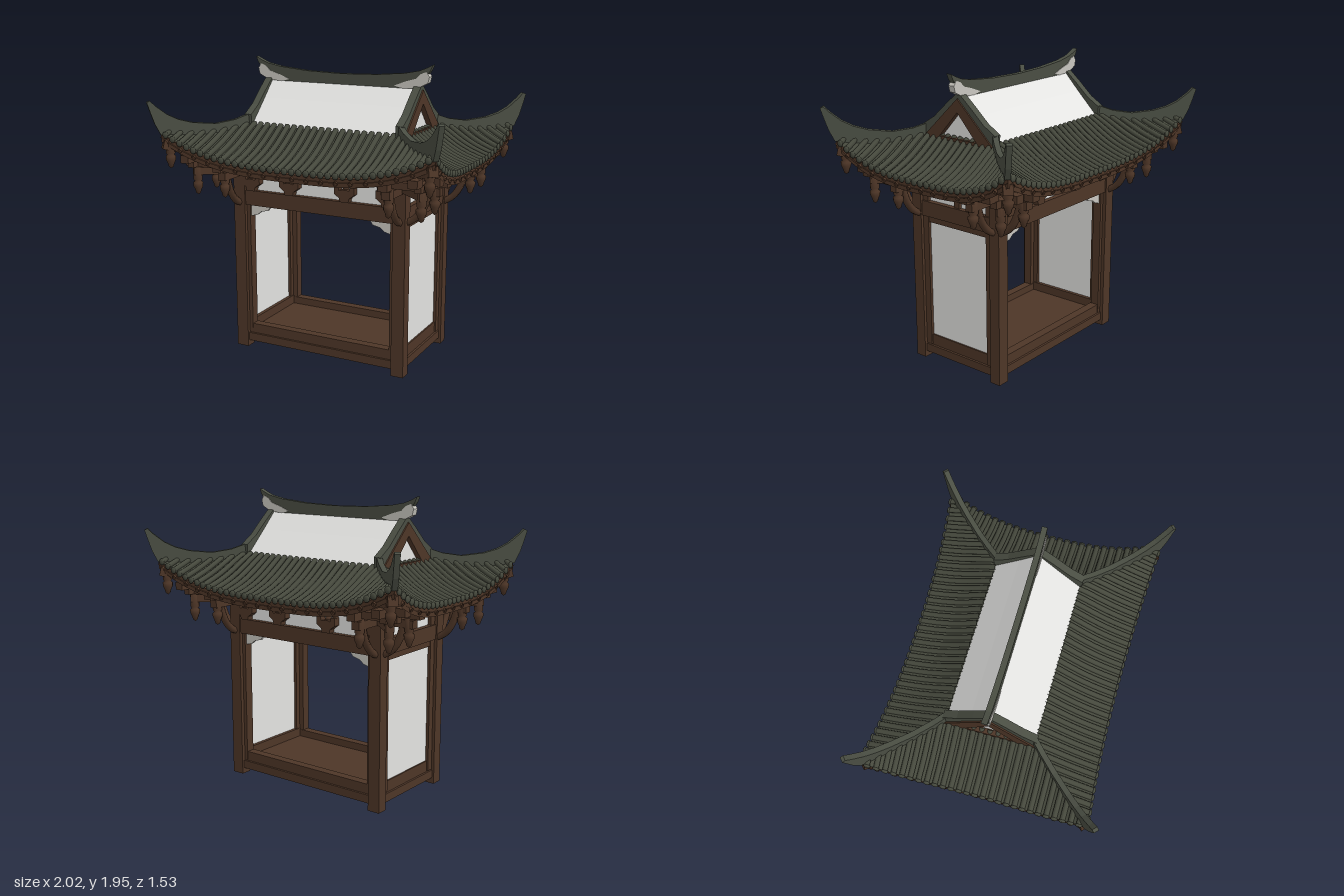
import * as THREE from 'three';
import { mergeGeometries } from 'three/addons/utils/BufferGeometryUtils.js';

const material = (name, color, side = THREE.FrontSide) => {
  const m = new THREE.MeshStandardMaterial({ color, side });
  m.name = name;
  return m;
};

export function createModel() {
  const model = new THREE.Group();
  model.name = 'pavilion';
  const wood = material('dark wood', 0x4e3627, THREE.DoubleSide);
  const tile = material('roof tile', 0x46493d, THREE.DoubleSide);
  const ridgeMat = material('ridge tile', 0x4a4e43);
  const white = material('white panel', 0xe4e4e2, THREE.DoubleSide);
  const carved = material('pale carving', 0xc9c7c0);
  const signs = [-1, 1];

  const add = (name, geo, mat, x = 0, y = 0, z = 0, ry = 0) => {
    const mesh = new THREE.Mesh(geo, mat);
    mesh.name = name;
    mesh.position.set(x, y, z);
    mesh.rotation.y = ry;
    model.add(mesh);
    return mesh;
  };
  // box given by its minimum and maximum on each axis
  const block = (name, mat, x0, x1, y0, y1, z0, z1) =>
    add(name, new THREE.BoxGeometry(Math.abs(x1 - x0), y1 - y0, Math.abs(z1 - z0)), mat,
      (x0 + x1) / 2, (y0 + y1) / 2, (z0 + z1) / 2);
  // outline in x and y, extruded evenly to both sides of z = 0
  const plate = (pts, depth, hole) => {
    const shape = new THREE.Shape(pts.map(p => new THREE.Vector2(...p)));
    if (hole) shape.holes.push(new THREE.Path(hole.map(p => new THREE.Vector2(...p))));
    return new THREE.ExtrudeGeometry(shape, { depth, bevelEnabled: false }).translate(0, 0, -depth / 2);
  };
  // doubles a right half outline, listed from the top centre to the bottom centre
  const mirrored = pts => [...pts, ...pts.map(([x, y]) => [-x, y]).reverse()];
  const loft = (fn, nu, nv) => {
    const pos = [], idx = [];
    for (let j = 0; j <= nv; j++) for (let i = 0; i <= nu; i++) {
      pos.push(...fn(-1 + 2 * i / nu, j / nv));
      const a = j * (nu + 1) + i, b = a + nu + 1;
      if (i < nu && j < nv) idx.push(a, b, a + 1, b, b + 1, a + 1);
    }
    const g = new THREE.BufferGeometry();
    g.setAttribute('position', new THREE.Float32BufferAttribute(pos, 3));
    g.setIndex(idx);
    g.computeVertexNormals();
    return g;
  };
  const bar = (name, a, b, thick) => {
    const from = new THREE.Vector3(...a), to = new THREE.Vector3(...b);
    const m = add(name, new THREE.BoxGeometry(thick, thick, from.distanceTo(to)), wood);
    m.position.copy(from).lerp(to, 0.5);
    m.lookAt(to);
  };

  // platform and lower rails
  block('floor', wood, -0.56, 0.56, 0.06, 0.11, -0.3, 0.3);
  for (const s of signs) {
    block('lowerSill', wood, -0.58, 0.58, 0.04, 0.095, s * 0.28, s * 0.345);
    block('upperSill', wood, -0.56, 0.56, 0.095, 0.16, s * 0.27, s * 0.33);
    block('sideLowerSill', wood, s * 0.55, s * 0.605, 0.04, 0.095, -0.3, 0.3);
    block('sideUpperSill', wood, s * 0.54, s * 0.59, 0.095, 0.17, -0.3, 0.3);
  }

  // posts, side walls, beams and upper panels
  for (const sx of signs) {
    for (const sz of signs) {
      block('post', wood, sx * 0.535, sx * 0.62, 0, 1.29, sz * 0.285, sz * 0.36);
      block('postLining', wood, sx * 0.51, sx * 0.56, 0.1, 1.27, sz * 0.275, sz * 0.335);
      block('wallFrame', wood, sx * 0.545, sx * 0.6, 0.1, 1.27, sz * 0.24, sz * 0.3);
    }
    block('sideWall', white, sx * 0.565, sx * 0.58, 0.16, 0.97, -0.245, 0.245);
    block('sideWallTop', wood, sx * 0.545, sx * 0.595, 0.96, 1.01, -0.29, 0.29);
    block('sideBeam', wood, sx * 0.53, sx * 0.61, 1.0, 1.1, -0.32, 0.32);
    block('sideFrieze', white, sx * 0.565, sx * 0.575, 1.1, 1.25, -0.25, 0.25);
    block('friezePost', wood, sx * 0.545, sx * 0.595, 1.1, 1.25, -0.022, 0.022);
    block('sideTopBeam', wood, sx * 0.53, sx * 0.61, 1.245, 1.31, -0.32, 0.32);
    block('frontBeam', wood, -0.55, 0.55, 1.0, 1.1, sx * 0.28, sx * 0.35);
    block('frontFrieze', white, -0.52, 0.52, 1.1, 1.25, sx * 0.305, sx * 0.315);
    block('frontTopBeam', wood, -0.58, 0.58, 1.245, 1.31, sx * 0.27, sx * 0.35);
  }

  // cup shaped brackets on the front and back beams
  const cup = plate(mirrored([[0.015, 1.18], [0.035, 1.175], [0.04, 1.2], [0.07, 1.2],
    [0.07, 1.15], [0.035, 1.125], [0.03, 1.1]]), 0.1);
  const knob = new THREE.SphereGeometry(0.02, 10, 8);
  for (const sz of signs) for (const x of [-0.49, -0.2, 0.2, 0.49]) {
    add('cupBracket', cup, wood, x, 0, sz * 0.31);
    for (const dx of [-0.055, 0, 0.055])
      add('bracketKnob', knob, wood, x + dx, dx ? 1.205 : 1.19, sz * 0.33);
  }

  // pale carved corner pieces
  const spandrel = (s, y, len, h) => plate([[0, y], [-s * len, y], [-s * len * 0.85, y - h * 0.4],
    [-s * len * 0.5, y - h * 0.55], [-s * len * 0.3, y - h * 0.85], [0, y - h]], 0.02);
  for (const sx of signs) for (const sz of signs) {
    add('beamCarving', spandrel(sx, 1.0, 0.15, 0.08), carved, sx * 0.51, 0, sz * 0.31);
    add('friezeCarving', spandrel(sx, 1.245, 0.14, 0.06), carved, sx * 0.51, 0, sz * 0.315);
    add('sideCarving', spandrel(sz, 1.245, 0.13, 0.07), carved, sx * 0.575, 0, sz * 0.245, -Math.PI / 2);
  }

  // corner brackets with hanging pendants
  const pendant = new THREE.LatheGeometry([[0.001, 0], [0.016, 0.012], [0.022, 0.035], [0.032, 0.055],
    [0.034, 0.08], [0.022, 0.09], [0.03, 0.1], [0.03, 0.19], [0.001, 0.19]]
    .map(p => new THREE.Vector2(...p)), 10);
  const brace = (a, b, c) => new THREE.TubeGeometry(new THREE.QuadraticBezierCurve3(
    new THREE.Vector3(...a), new THREE.Vector3(...b), new THREE.Vector3(...c)), 8, 0.024, 6);
  for (const sx of signs) {
    for (const sz of signs) {
      const X = x => sx * x, Z = z => sz * z;
      block('sideArm', wood, X(0.56), X(0.83), 1.2, 1.25, Z(0.285), Z(0.335));
      block('sideArmUpper', wood, X(0.56), X(0.88), 1.26, 1.31, Z(0.28), Z(0.34));
      block('frontArm', wood, X(0.55), X(0.605), 1.2, 1.25, Z(0.3), Z(0.56));
      block('frontArmUpper', wood, X(0.55), X(0.61), 1.26, 1.31, Z(0.3), Z(0.61));
      bar('diagonalArm', [X(0.57), 1.23, Z(0.31)], [X(0.81), 1.24, Z(0.54)], 0.05);
      bar('cornerBeam', [X(0.57), 1.3, Z(0.31)], [X(0.93), 1.43, Z(0.69)], 0.06);
      for (const [x, z] of [[0.79, 0.31], [0.58, 0.52], [0.79, 0.52]])
        add('pendant', pendant, wood, X(x), 1.08, Z(z));
      add('cornerPendant', pendant, wood, X(0.895), 1.27, Z(0.66));
      block('eaveBlock', wood, X(0.83), X(0.91), 1.31, 1.36, Z(0.48), Z(0.54));
      block('eaveBlock', wood, X(0.76), X(0.82), 1.31, 1.36, Z(0.58), Z(0.66));
      add('sideBrace', brace([X(0.6), 1.01, Z(0.31)], [X(0.71), 1.04, Z(0.31)], [X(0.75), 1.21, Z(0.31)]), wood);
      add('frontBrace', brace([X(0.58), 1.01, Z(0.34)], [X(0.58), 1.04, Z(0.45)], [X(0.58), 1.21, Z(0.49)]), wood);
      add('braceKnob', knob, wood, X(0.7), 1.09, Z(0.31));
      add('braceKnob', knob, wood, X(0.58), 1.09, Z(0.44));
    }
    block('frontPurlin', wood, -0.86, 0.86, 1.27, 1.315, sx * 0.5, sx * 0.545);
    block('sidePurlin', wood, sx * 0.77, sx * 0.815, 1.27, 1.315, -0.59, 0.59);
  }

  // lower roof: four curved slopes with rolled tile rows and rafters
  const slopes = [
    { top: 0.54, low: 0.945, in: 0.27, out: 0.66, turns: [0, Math.PI] },
    { top: 0.27, low: 0.70, in: 0.54, out: 0.905, turns: [Math.PI / 2, -Math.PI / 2] },
  ];
  for (const s of slopes) {
    const at = (u, v, lift = 0) => [
      u * (s.top + (s.low - s.top) * v),
      1.53 + (1.325 + 0.185 * Math.abs(u) ** 3 - 1.53) * v - 0.03 * Math.sin(Math.PI * v) + lift,
      s.in + (s.out - s.in + 0.04 * u * u) * v];
    const rows = (spacing, radius, lift, capRadius) => {
      const parts = [], n = Math.floor((s.low - 0.015) / spacing);
      for (let i = -n; i <= n; i++) {
        const x = i * spacing;
        const v0 = Math.min(0.94, Math.max(0, (Math.abs(x) - s.top) / (s.low - s.top)));
        const pts = [];
        for (let k = 0; k <= 6; k++) {
          const v = v0 + (1.01 - v0) * k / 6;
          pts.push(new THREE.Vector3(...at(x / (s.top + (s.low - s.top) * v), v, lift)));
        }
        parts.push(new THREE.TubeGeometry(new THREE.CatmullRomCurve3(pts), 8, radius, 8));
        if (capRadius) parts.push(new THREE.SphereGeometry(capRadius, 10, 8)
          .scale(1, 1, 0.5).translate(pts[6].x, pts[6].y, pts[6].z));
      }
      return mergeGeometries(parts);
    };
    const base = loft((u, v) => at(u, v), 32, 10);
    const soffit = loft((u, v) => at(u, v, -0.035), 32, 10);
    const fascia = loft((u, v) => at(u, 0.985, -0.01 - 0.055 * v), 32, 1);
    const tiles = rows(0.05, 0.017, 0.008, 0.022);
    const rafters = rows(0.1, 0.014, -0.04, 0);
    for (const ry of s.turns) {
      add('roofSlope', base, tile, 0, 0, 0, ry);
      add('tileRows', tiles, tile, 0, 0, 0, ry);
      add('soffit', soffit, wood, 0, 0, 0, ry);
      add('eaveBoard', fascia, wood, 0, 0, 0, ry);
      add('rafters', rafters, wood, 0, 0, 0, ry);
    }
  }

  // upturned hip ridges
  const hip = plate([[0, 1.6], [0.1, 1.565], [0.23, 1.545], [0.38, 1.56], [0.47, 1.585], [0.54, 1.62],
    [0.61, 1.675], [0.645, 1.71], [0.665, 1.7], [0.645, 1.635], [0.62, 1.56], [0.585, 1.49],
    [0.45, 1.465], [0.25, 1.465], [0, 1.5]], 0.034);
  for (const sx of signs) for (const sz of signs)
    add('hipRidge', hip, ridgeMat, sx * 0.54, 0, sz * 0.27, -Math.atan2(sz * 0.475, sx * 0.45));

  // pale upper roof, gables and their sloping ridges
  const turn = -Math.PI / 2;
  add('upperRoof', plate(mirrored([[0, 1.81], [0.12, 1.685], [0.275, 1.53], [0.25, 1.515], [0, 1.775]]), 1.03),
    white, 0, 0, 0, turn);
  const gableRidge = plate(mirrored([[0, 1.825], [0.1, 1.74], [0.2, 1.65], [0.29, 1.595],
    [0.285, 1.52], [0.2, 1.59], [0, 1.765]]), 0.05);
  const bargeBoard = plate([[-0.285, 1.515], [0.285, 1.515], [0, 1.785]], 0.045,
    [[-0.15, 1.535], [0.15, 1.535], [0, 1.7]]);
  const gable = plate([[-0.2, 1.52], [0.2, 1.52], [0, 1.73]], 0.01);
  for (const s of signs) {
    add('gableRidge', gableRidge, ridgeMat, s * 0.54, 0, 0, turn);
    add('bargeBoard', bargeBoard, wood, s * 0.552, 0, 0, turn);
    add('gablePanel', gable, white, s * 0.535, 0, 0, turn);
  }

  // main ridge with swept ends and pale end ornaments
  add('mainRidge', plate(mirrored([[0, 1.86], [0.25, 1.867], [0.45, 1.885], [0.55, 1.905], [0.6, 1.925],
    [0.64, 1.945], [0.625, 1.91], [0.6, 1.875], [0.585, 1.82], [0.55, 1.8], [0.45, 1.785], [0, 1.775]]), 0.036),
    ridgeMat);
  for (const s of signs) add('ridgeOrnament', plate([[0.6, 1.9], [0.56, 1.885], [0.53, 1.855], [0.46, 1.835],
    [0.38, 1.805], [0.44, 1.79], [0.55, 1.8], [0.61, 1.83], [0.62, 1.87]].map(([x, y]) => [s * x, y]), 0.044), carved);

  return model;
}
